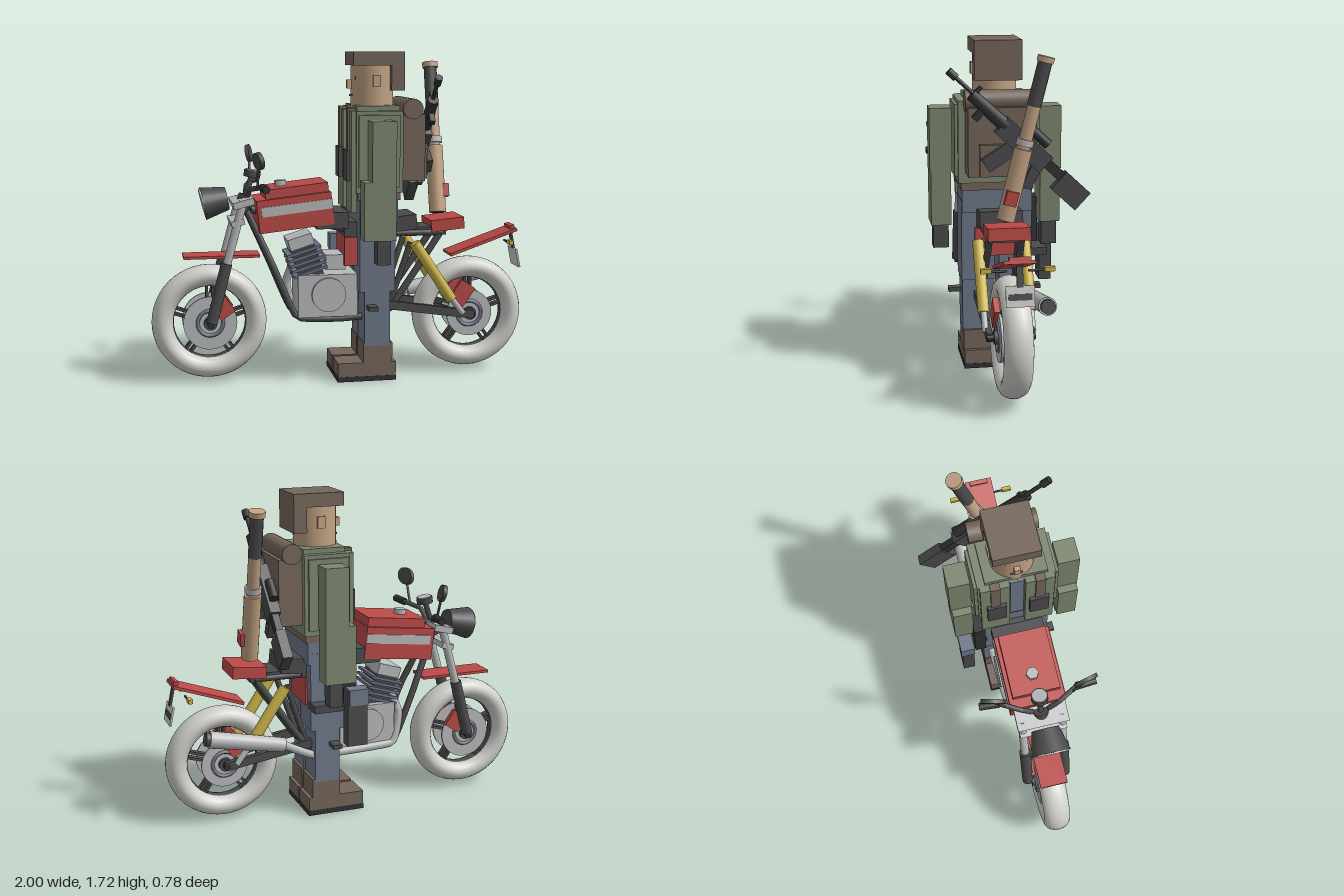
import * as THREE from 'three';

const mat = (name, color) => Object.assign(new THREE.MeshStandardMaterial({ color }), { name });
const M = {
  tyre: mat('pale rubber', 0xcfcfcb), silver: mat('silver', 0xb9babb), dark: mat('dark grey', 0x4b4b4d),
  black: mat('near black', 0x323234), red: mat('red', 0xbb4a47), yellow: mat('yellow', 0xcdb54a),
  denim: mat('slate blue', 0x6f788a), olive: mat('olive', 0x7d8770), brown: mat('brown', 0x75665a),
  skin: mat('tan', 0xc2a283),
};
const V = (p) => new THREE.Vector3(...p);

export function createModel() {
  const model = new THREE.Group();
  const group = (name, parent = model) => {
    const g = new THREE.Group();
    g.name = name;
    parent.add(g);
    return g;
  };
  const add = (g, name, geo, m, pos = [0, 0, 0]) => {
    const mesh = new THREE.Mesh(geo, m);
    mesh.name = name;
    mesh.position.set(...pos);
    g.add(mesh);
    return mesh;
  };
  // Box by centre and size, tilted about z
  const box = (g, name, m, pos, size, tilt = 0) => {
    const b = add(g, name, new THREE.BoxGeometry(...size), m, pos);
    b.rotation.z = tilt;
    return b;
  };
  // Box by its extents in x, y and z
  const span = (g, name, m, x, y, z) => box(g, name, m,
    [x, y, z].map((r) => (r[0] + r[1]) / 2), [x, y, z].map((r) => r[1] - r[0]));
  // Round bar from a to b
  const rod = (g, name, m, a, b, ra, rb = ra, sides = 16) => {
    const d = V(b).sub(V(a));
    const c = add(g, name, new THREE.CylinderGeometry(rb, ra, d.length(), sides), m);
    c.position.copy(V(a)).addScaledVector(d, 0.5);
    c.quaternion.setFromUnitVectors(new THREE.Vector3(0, 1, 0), d.normalize());
    return c;
  };
  const bent = (g, name, m, pts, r) => add(g, name,
    new THREE.TubeGeometry(new THREE.CatmullRomCurve3(pts.map(V), false, 'catmullrom', 0.15), 40, r, 10), m);

  // ---------- Motorcycle, nose towards -x ----------
  const bike = group('motorcycle');
  bike.position.z = 0.045;

  for (const [name, x, disc] of [['frontWheel', -0.7, 0.14], ['rearWheel', 0.695, 0.125]]) {
    const w = group(name, bike);
    w.position.set(x, 0.32, 0);
    add(w, 'tyre', new THREE.TorusGeometry(0.245, 0.056, 20, 48), M.tyre).scale.z = 1.28;
    add(w, 'rim', new THREE.TorusGeometry(0.2, 0.014, 10, 48), M.dark).scale.z = 2.2;
    rod(w, 'hub', M.dark, [0, 0, -0.085], [0, 0, 0.085], 0.035);
    rod(w, 'axle', M.black, [0, 0, -0.12], [0, 0, 0.12], 0.018);
    for (let i = 0; i < 5; i++) {
      const spoke = group('spoke', w);
      spoke.rotation.z = (i * Math.PI * 2) / 5 + 0.3;
      for (const s of [-1, 1]) box(spoke, 'spokeBar', M.dark, [0.12, s * 0.015, 0], [0.17, 0.014, 0.04]);
    }
    for (const s of [-1, 1]) {
      rod(w, 'brakeDisc', M.silver, [0, 0, s * 0.052], [0, 0, s * 0.064], disc, disc, 40);
      add(w, 'discRing', new THREE.TorusGeometry(0.066, 0.01, 6, 32), M.denim, [0, 0, s * 0.064]);
    }
  }

  // Forks, shocks, frame rails and other paired parts
  for (const s of [-1, 1]) {
    const z = s * 0.105;
    rod(bike, 'forkLower', M.dark, [-0.695, 0.33, z], [-0.615, 0.64, z], 0.03);
    rod(bike, 'forkUpper', M.silver, [-0.615, 0.63, z], [-0.525, 0.96, z], 0.022);
    box(bike, 'frontCaliper', M.red, [-0.635, 0.4, s * 0.07], [0.09, 0.1, 0.03], 0.6);
    box(bike, 'rearCaliper', M.red, [0.65, 0.43, s * 0.07], [0.09, 0.125, 0.03], -0.6);
    rod(bike, 'shockBody', M.yellow, [0.375, 0.72, s * 0.118], [0.58, 0.41, s * 0.118], 0.029);
    rod(bike, 'shockRod', M.silver, [0.57, 0.43, s * 0.118], [0.645, 0.33, s * 0.118], 0.016);
    box(bike, 'swingArm', M.dark, [0.465, 0.357, z], [0.48, 0.045, 0.03], -0.15);
    bent(bike, 'frameCradle', M.dark, [[-0.5, 0.9, s * 0.03], [-0.37, 0.61, s * 0.08], [-0.25, 0.34, s * 0.09],
      [0, 0.325, s * 0.09], [0.24, 0.36, s * 0.09], [0.52, 0.76, s * 0.08]], 0.018);
    rod(bike, 'seatRail', M.dark, [-0.48, 0.91, s * 0.04], [0.15, 0.77, s * 0.08], 0.02);
    rod(bike, 'seatRail', M.dark, [0.15, 0.77, s * 0.08], [0.53, 0.77, s * 0.08], 0.018);
    rod(bike, 'rearStay', M.dark, [0.25, 0.39, s * 0.08], [0.36, 0.72, s * 0.09], 0.016);
    box(bike, 'footPeg', M.dark, [0.13, 0.4, s * 0.18], [0.05, 0.022, 0.13]);
    bent(bike, 'handlebar', M.dark, [[-0.5, 0.96, s * 0.03], [-0.49, 1.02, s * 0.1], [-0.44, 1.04, s * 0.2],
      [-0.43, 1.04, s * 0.3]], 0.013);
    rod(bike, 'grip', M.black, [-0.438, 1.04, s * 0.2], [-0.43, 1.04, s * 0.305], 0.02);
    rod(bike, 'mirrorStalk', M.dark, [-0.46, 1.04, s * 0.18], [-0.46, 1.16, s * 0.23], 0.007, 0.007, 8);
    const mirror = rod(bike, 'mirror', M.dark, [-0.47, 1.175, s * 0.24], [-0.45, 1.18, s * 0.235], 0.045);
    mirror.scale.z = 1.4;
    box(bike, 'indicator', M.yellow, [0.89, 0.715, s * 0.15], [0.022, 0.022, 0.05]);
    rod(bike, 'indicatorStalk', M.black, [0.89, 0.71, s * 0.05], [0.89, 0.71, s * 0.13], 0.006, 0.006, 8);
    box(bike, 'tankStripe', M.silver, [-0.252, 0.925, s * 0.149], [0.37, 0.05, 0.006], 0.11);
  }
  rod(bike, 'headStock', M.dark, [-0.53, 0.9, 0], [-0.5, 0.98, 0], 0.04);
  box(bike, 'forkClamp', M.silver, [-0.525, 0.95, 0], [0.11, 0.035, 0.27], 0.25);
  box(bike, 'lowerClamp', M.silver, [-0.555, 0.85, 0], [0.07, 0.03, 0.25], 0.25);
  rod(bike, 'headlightShell', M.dark, [-0.6, 0.965, 0], [-0.725, 0.94, 0], 0.06, 0.086, 24).scale.z = 1.2;
  rod(bike, 'headlightLens', M.silver, [-0.722, 0.941, 0], [-0.73, 0.939, 0], 0.08, 0.08, 24).scale.z = 1.2;
  rod(bike, 'gauge', M.dark, [-0.47, 1.075, 0], [-0.465, 1.108, 0], 0.044, 0.044, 20);
  rod(bike, 'gaugeFace', M.silver, [-0.465, 1.107, 0], [-0.464, 1.112, 0], 0.038, 0.038, 20);
  rod(bike, 'gaugeStalk', M.dark, [-0.51, 0.96, 0], [-0.47, 1.08, 0], 0.015);
  box(bike, 'frontFender', M.red, [-0.635, 0.667, 0], [0.395, 0.014, 0.145]);

  // Tank, seat and tail
  box(bike, 'tank', M.red, [-0.26, 0.9, 0], [0.39, 0.17, 0.29], 0.11);
  box(bike, 'tankTop', M.red, [-0.25, 1.005, 0], [0.33, 0.06, 0.25], 0.11);
  rod(bike, 'fuelCap', M.silver, [-0.32, 1.02, 0], [-0.322, 1.055, 0], 0.033, 0.033, 6);
  span(bike, 'seatFront', M.dark, [-0.15, 0.02], [0.81, 0.895], [-0.14, 0.14]);
  span(bike, 'seatMiddle', M.dark, [0, 0.28], [0.76, 0.84], [-0.11, 0.11]);
  box(bike, 'seatRear', M.dark, [0.32, 0.825, 0], [0.14, 0.08, 0.22], 0.1);
  span(bike, 'tailBase', M.dark, [0.3, 0.555], [0.755, 0.8], [-0.09, 0.09]);
  box(bike, 'tailCowl', M.red, [0.56, 0.812, 0], [0.18, 0.062, 0.21], 0.09);
  span(bike, 'sideCover', M.red, [0, 0.265], [0.61, 0.76], [-0.12, 0.12]);
  box(bike, 'rearFender', M.red, [0.77, 0.705, 0], [0.39, 0.016, 0.15], 0.335);
  box(bike, 'tailLamp', M.red, [0.935, 0.78, 0], [0.025, 0.02, 0.1], 0.3);
  box(bike, 'plate', M.tyre, [0.965, 0.61, 0], [0.01, 0.1, 0.135], 0.2);
  box(bike, 'plateMark', M.dark, [0.971, 0.608, 0], [0.004, 0.03, 0.11], 0.2);
  box(bike, 'plateBracket', M.dark, [0.95, 0.7, 0], [0.012, 0.1, 0.03], 0.2);

  // Engine with a finned, forward-leaning cylinder
  span(bike, 'crankcase', M.silver, [-0.245, 0.07], [0.34, 0.565], [-0.115, 0.115]);
  rod(bike, 'crankCover', M.silver, [-0.085, 0.46, -0.135], [-0.085, 0.46, 0.135], 0.09, 0.09, 28);
  span(bike, 'airBox', M.silver, [-0.095, 0.01], [0.585, 0.665], [-0.09, 0.09]);
  const cylinder = group('cylinder', bike);
  cylinder.position.set(-0.17, 0.56, 0);
  cylinder.rotation.z = 0.3;
  span(cylinder, 'barrel', M.dark, [-0.065, 0.065], [-0.03, 0.16], [-0.08, 0.08]);
  for (let i = 0; i < 5; i++) box(cylinder, 'fin', M.denim, [0, 0.02 + i * 0.029, 0], [0.185, 0.014, 0.21]);
  span(cylinder, 'cylinderHead', M.silver, [-0.065, 0.065], [0.155, 0.215], [-0.09, 0.09]);

  // Exhaust along the far side
  bent(bike, 'exhaustPipe', M.silver, [[-0.24, 0.62, -0.06], [-0.28, 0.5, -0.09], [-0.23, 0.335, -0.11],
    [0.22, 0.33, -0.13], [0.42, 0.43, -0.16]], 0.022);
  rod(bike, 'muffler', M.silver, [0.4, 0.42, -0.16], [0.8, 0.5, -0.16], 0.038, 0.045, 20);
  rod(bike, 'mufflerTip', M.dark, [0.79, 0.498, -0.16], [0.82, 0.504, -0.16], 0.036, 0.036, 20);

  // ---------- Standing rider, facing -x ----------
  const rider = group('rider');
  rider.position.z = 0.05;
  rod(rider, 'head', M.skin, [0.165, 1.42, 0], [0.165, 1.67, 0], 0.112, 0.112, 32);
  span(rider, 'capTop', M.brown, [0.045, 0.315], [1.65, 1.72], [-0.12, 0.12]);
  span(rider, 'capBack', M.brown, [0.245, 0.315], [1.52, 1.65], [-0.12, 0.12]);
  span(rider, 'nose', M.skin, [0.03, 0.07], [1.53, 1.575], [-0.015, 0.015]);
  span(rider, 'mouth', M.brown, [0.05, 0.08], [1.49, 1.5], [-0.03, 0.03]);
  span(rider, 'torso', M.olive, [0.045, 0.29], [1.0, 1.42], [-0.2, 0.2]);
  span(rider, 'yoke', M.olive, [0.055, 0.28], [1.38, 1.445], [-0.16, 0.16]);
  span(rider, 'belt', M.brown, [0.055, 0.28], [0.96, 1.0], [-0.185, 0.185]);
  span(rider, 'hips', M.denim, [0.068, 0.268], [0.84, 0.96], [-0.18, 0.18]);
  span(rider, 'shirtFront', M.denim, [0.035, 0.05], [1.02, 1.42], [-0.035, 0.035]);
  for (const s of [-1, 1]) {
    const side = (name, m, x, y, a, b) => span(rider, name, m, x, y, s > 0 ? [a, b] : [-b, -a]);
    side('eye', M.black, [0.066, 0.074], [1.575, 1.595], 0.03, 0.055);
    side('ear', M.skin, [0.148, 0.188], [1.54, 1.6], 0.1, 0.122);
    side('shoulder', M.olive, [0.055, 0.27], [1.03, 1.4], 0.19, 0.216);
    side('vestStrap', M.brown, [0.01, 0.05], [1.22, 1.435], 0.09, 0.14);
    side('vestPanel', M.olive, [0.02, 0.05], [0.9, 1.42], 0.04, 0.19);
    side('magazinePouch', M.dark, [0, 0.04], [1.06, 1.22], 0.06, 0.16);
    side('upperArm', M.olive, [0.1, 0.225], [1.05, 1.375], 0.225, 0.338);
    side('forearm', M.olive, [0.06, 0.225], [0.77, 1.07], 0.23, 0.333);
    side('glove', M.dark, [0.13, 0.2], [0.645, 0.775], 0.242, 0.322);
    side('thigh', M.denim, [0.068, 0.255], [0.48, 0.9], 0.012, 0.182);
    side('shin', M.denim, [0.095, 0.23], [0.19, 0.49], 0.014, 0.176);
    side('bootShaft', M.brown, [0.09, 0.245], [0.09, 0.205], 0.01, 0.172);
    side('bootFoot', M.brown, [-0.045, 0.265], [0.025, 0.1], 0.01, 0.17);
    side('bootSole', M.black, [-0.047, 0.267], [0, 0.026], 0.008, 0.172);
  }

  // Backpack with bedroll, and holsters
  span(rider, 'backpack', M.brown, [0.285, 0.415], [1.055, 1.4], [-0.165, 0.165]);
  span(rider, 'backpackPocket', M.brown, [0.41, 0.44], [1.06, 1.22], [-0.11, 0.11]);
  rod(rider, 'bedroll', M.brown, [0.348, 1.428, -0.185], [0.348, 1.428, 0.175], 0.053, 0.053, 24);
  span(rider, 'hipPouch', M.black, [0.02, 0.12], [0.6, 0.88], [-0.235, -0.175]);
  span(rider, 'thighHolster', M.dark, [-0.01, 0.1], [0.42, 0.72], [-0.315, -0.25]);
  span(rider, 'holsterFlap', M.denim, [-0.015, 0.09], [0.64, 0.725], [-0.32, -0.245]);
  span(rider, 'holsterStrap', M.dark, [0.06, 0.26], [0.6, 0.64], [-0.26, -0.16]);

  // ---------- Rocket tube slung on the back ----------
  const launcher = group('launcher');
  const at = (t) => [0.53, 0.865 + 0.795 * t, 0.047 - 0.197 * t];
  for (const [name, m, a, b, r] of [
    ['rearTube', M.skin, 0, 0.44, 0.045], ['band', M.silver, 0.46, 0.5, 0.043], ['frontTube', M.skin, 0.43, 0.72, 0.033],
    ['grip', M.dark, 0.7, 0.97, 0.036], ['muzzle', M.skin, 0.965, 1, 0.042],
  ]) rod(launcher, name, m, at(a), at(b), r, r, name === 'grip' ? 8 : 20);
  rod(launcher, 'breech', M.black, at(-0.004), at(0.02), 0.036);
  box(launcher, 'warningBox', M.red, [0.56, 0.98, 0.025], [0.06, 0.07, 0.06]).rotation.x = -0.25;
  box(launcher, 'sight', M.dark, [0.49, 1.13, -0.02], [0.04, 0.09, 0.03]).rotation.x = -0.25;

  // ---------- Rifle, built muzzle along its own +x ----------
  const rifle = group('rifle');
  rifle.position.set(0.458, 1.27, -0.03);
  rifle.rotation.set(-0.75, -Math.PI / 2, 0);
  rod(rifle, 'barrel', M.black, [0.1, 0, 0], [0.46, 0, 0], 0.011, 0.011, 10);
  rod(rifle, 'muzzleBrake', M.black, [0.42, 0, 0], [0.47, 0, 0], 0.02, 0.02, 10);
  rod(rifle, 'handguard', M.black, [0.08, -0.01, 0], [0.31, -0.01, 0], 0.036, 0.03, 8);
  span(rifle, 'receiver', M.dark, [-0.2, 0.1], [-0.07, 0.03], [-0.028, 0.028]);
  span(rifle, 'stockTube', M.black, [-0.33, -0.18], [-0.035, 0.015], [-0.018, 0.018]);
  span(rifle, 'stock', M.dark, [-0.465, -0.3], [-0.09, 0.025], [-0.026, 0.026]);
  box(rifle, 'magazine', M.dark, [0.0, -0.14, 0], [0.075, 0.17, 0.03], 0.25);
  box(rifle, 'pistolGrip', M.dark, [-0.19, -0.115, 0], [0.05, 0.11, 0.03], -0.3);
  rod(rifle, 'optic', M.black, [-0.14, 0.062, 0], [-0.03, 0.062, 0], 0.026, 0.026, 12);
  span(rifle, 'frontSight', M.black, [0.29, 0.31], [0, 0.05], [-0.008, 0.008]);
  span(rifle, 'foregrip', M.black, [0.2, 0.235], [-0.09, -0.03], [-0.014, 0.014]);

  return model;
}
